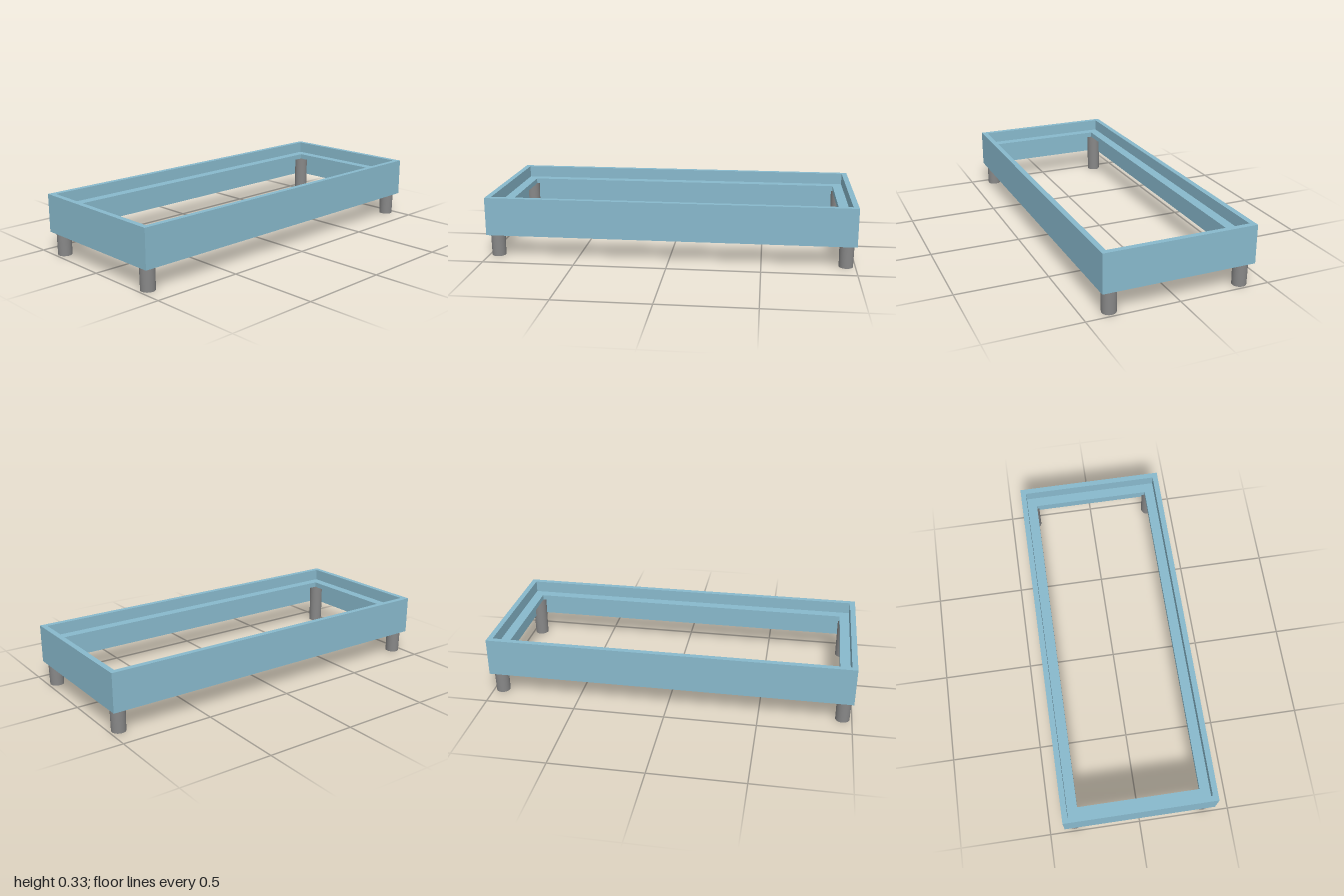
import * as THREE from 'three';

const blue = new THREE.MeshStandardMaterial({ color: 0x88b9cc });
const grey = new THREE.MeshStandardMaterial({ color: 0x888888 });

// Trace a centred rectangle on a shape or path
function rect(target, hx, hz) {
  target.moveTo(-hx, -hz);
  target.lineTo(hx, -hz);
  target.lineTo(hx, hz);
  target.lineTo(-hx, hz);
  target.closePath();
  return target;
}

// Rectangular ring lying flat, from height y0 to y1
function ring(name, outer, inner, y0, y1) {
  const shape = rect(new THREE.Shape(), ...outer);
  shape.holes.push(rect(new THREE.Path(), ...inner));
  const geometry = new THREE.ExtrudeGeometry(shape, { depth: y1 - y0, bevelEnabled: false });
  geometry.rotateX(-Math.PI / 2).translate(0, y0, 0);
  const mesh = new THREE.Mesh(geometry, blue);
  mesh.name = name;
  return mesh;
}

export function createModel() {
  const model = new THREE.Group();
  model.name = 'bedFrame';

  // Outer rails and the inner ledge that carries the mattress base
  model.add(ring('sideRails', [1, 0.415], [0.97, 0.385], 0.125, 0.335));
  model.add(ring('supportLedge', [0.97, 0.385], [0.915, 0.33], 0.24, 0.27));

  // Slightly tapered round legs, rising to the underside of the ledge
  const legHeight = 0.24;
  const legGeometry = new THREE.CylinderGeometry(0.041, 0.038, legHeight, 32);
  for (const [sx, xName] of [[1, 'Left'], [-1, 'Right']]) {
    for (const [sz, zName] of [[1, 'front'], [-1, 'back']]) {
      const leg = new THREE.Mesh(legGeometry, grey);
      leg.name = `${zName}${xName}Leg`;
      leg.position.set(sx * 0.95, legHeight / 2, sz * 0.36);
      model.add(leg);
    }
  }
  return model;
}
